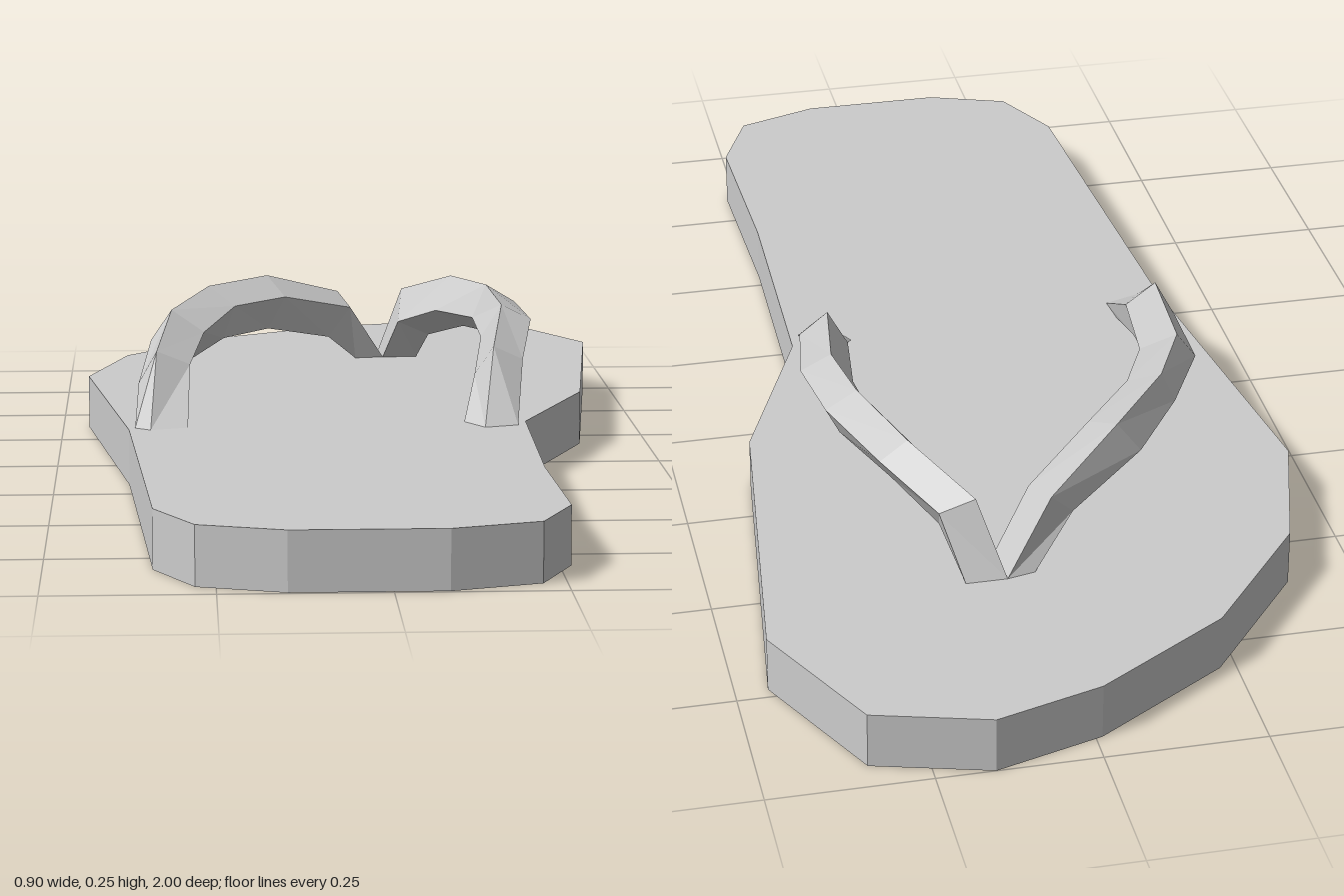
import * as THREE from 'three';

const SOLE_HEIGHT = 0.09;

// Sole outline as [x, z], clockwise from the toe tip
const OUTLINE = [
  [0.16, -1], [0.34, -0.95], [0.45, -0.73], [0.385, -0.17], [0.265, 0.12], [0.257, 0.53],
  [0.267, 0.83], [0.215, 0.95], [0.08, 0.995], [-0.15, 0.995], [-0.28, 0.95], [-0.34, 0.83],
  [-0.38, 0.17], [-0.455, -0.375], [-0.39, -0.61], [-0.225, -0.815], [-0.01, -0.95],
];

// Four-sided strap sections from heel end to toe post: outer, top, inner, bottom corner
const RIGHT_STRAP = [
  [[-0.37, 0.09, 0.155], [-0.345, 0.09, 0.175], [-0.285, 0.09, 0.155], [-0.29, 0.09, 0.1]],
  [[-0.365, 0.14, 0.01], [-0.335, 0.195, 0.025], [-0.28, 0.17, 0.005], [-0.29, 0.12, -0.01]],
  [[-0.345, 0.18, -0.2], [-0.31, 0.23, -0.21], [-0.255, 0.195, -0.185], [-0.285, 0.145, -0.18]],
  [[-0.27, 0.195, -0.355], [-0.245, 0.25, -0.36], [-0.2, 0.22, -0.32], [-0.22, 0.165, -0.315]],
  [[-0.18, 0.195, -0.49], [-0.14, 0.25, -0.495], [-0.11, 0.22, -0.43], [-0.14, 0.165, -0.425]],
  [[-0.05, 0.16, -0.585], [-0.01, 0.205, -0.61], [0.01, 0.185, -0.54], [-0.03, 0.135, -0.52]],
  [[0.02, 0.09, -0.635], [0.065, 0.09, -0.645], [0.07, 0.09, -0.57], [0.02, 0.09, -0.56]],
];
const LEFT_STRAP = [
  [[0.25, 0.09, 0.155], [0.195, 0.09, 0.175], [0.165, 0.09, 0.12], [0.22, 0.09, 0.1]],
  [[0.27, 0.175, 0.01], [0.22, 0.2, 0.03], [0.19, 0.15, 0.01], [0.24, 0.125, -0.01]],
  [[0.3, 0.215, -0.175], [0.25, 0.24, -0.175], [0.215, 0.185, -0.175], [0.265, 0.16, -0.175]],
  [[0.285, 0.225, -0.32], [0.235, 0.255, -0.32], [0.21, 0.2, -0.3], [0.26, 0.17, -0.3]],
  [[0.23, 0.22, -0.48], [0.185, 0.25, -0.475], [0.155, 0.195, -0.425], [0.205, 0.165, -0.44]],
  [[0.16, 0.185, -0.59], [0.105, 0.21, -0.6], [0.095, 0.16, -0.53], [0.15, 0.135, -0.54]],
  [[0.13, 0.09, -0.645], [0.065, 0.09, -0.645], [0.07, 0.09, -0.57], [0.13, 0.09, -0.57]],
];

// Skins consecutive sections with flat-shaded quads and closes both ends
function loft(sections, flip) {
  const positions = [];
  const quad = (a, b, c, d) => {
    const corners = flip ? [a, c, b, a, d, c] : [a, b, c, a, c, d];
    corners.forEach((p) => positions.push(...p));
  };
  for (let i = 0; i < sections.length - 1; i++) {
    const s = sections[i], t = sections[i + 1];
    for (let k = 0; k < 4; k++) {
      const n = (k + 1) % 4;
      quad(s[k], s[n], t[n], t[k]);
    }
  }
  const [a, b, c, d] = sections[0];
  quad(d, c, b, a);
  quad(...sections[sections.length - 1]);
  const geometry = new THREE.BufferGeometry();
  geometry.setAttribute('position', new THREE.Float32BufferAttribute(positions, 3));
  geometry.computeVertexNormals();
  return geometry;
}

export function createModel() {
  const group = new THREE.Group();
  group.name = 'sandal';
  const rubber = new THREE.MeshStandardMaterial({ color: 0xcccccc });
  rubber.name = 'grey rubber';

  const add = (name, geometry) => {
    const mesh = new THREE.Mesh(geometry, rubber);
    mesh.name = name;
    group.add(mesh);
  };

  // Flat sole
  const shape = new THREE.Shape(OUTLINE.map(([x, z]) => new THREE.Vector2(x, -z)));
  const sole = new THREE.ExtrudeGeometry(shape, { depth: SOLE_HEIGHT, bevelEnabled: false });
  sole.rotateX(-Math.PI / 2);
  add('sole', sole);

  // Straps meeting at the toe post
  add('rightStrap', loft(RIGHT_STRAP, false));
  add('leftStrap', loft(LEFT_STRAP, true));

  return group;
}
